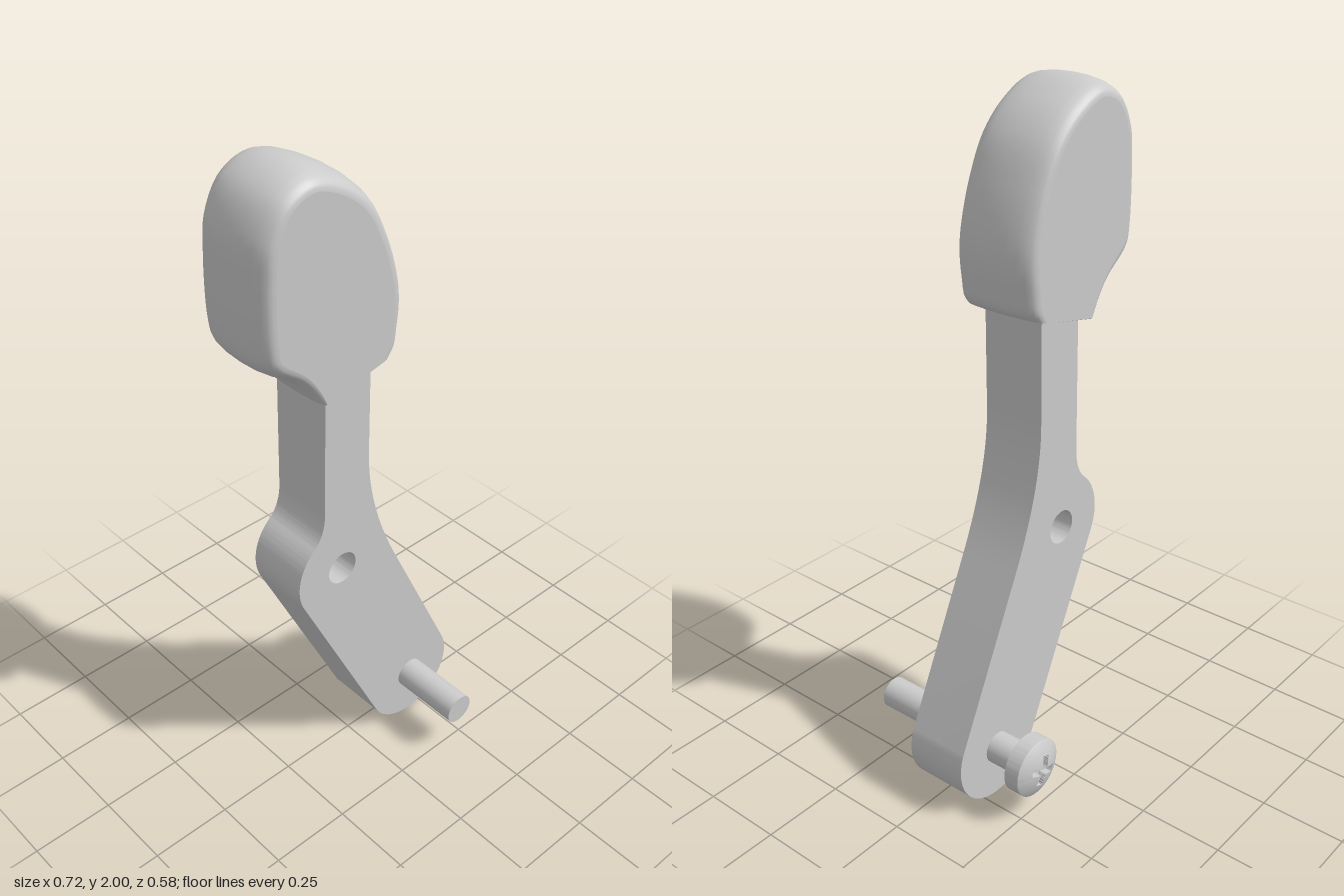
import * as THREE from 'three';
import { toCreasedNormals } from 'three/addons/utils/BufferGeometryUtils.js';
import { ParametricGeometry } from 'three/addons/geometries/ParametricGeometry.js';

const material = new THREE.MeshStandardMaterial({ color: 0xcccccc });

function addMesh(parent, name, geometry) {
  const mesh = new THREE.Mesh(geometry, material);
  mesh.name = name;
  parent.add(mesh);
  return mesh;
}

// Cranked lever arm with a pivot boss and a rounded lower end
function armGeometry() {
  const r = 0.158, tilt = Math.atan2(0.426, 0.904);
  const s = new THREE.Shape();
  s.moveTo(-0.14, 1.45);
  s.lineTo(0.015, 1.45);
  s.lineTo(0.012, 1.12);
  s.quadraticCurveTo(0.01, 0.93, 0.125, 0.69);
  s.absarc(0.2, 0.16, r, tilt, tilt - Math.PI, true);
  s.absarc(-0.085, 0.765, r, tilt + Math.PI, 2.29, true);
  s.quadraticCurveTo(-0.148, 0.918, -0.147, 0.99);
  const hole = new THREE.Path();
  hole.absarc(-0.085, 0.765, 0.05, 0, Math.PI * 2, false);
  s.holes.push(hole);
  const g = new THREE.ExtrudeGeometry(s, { depth: 0.19, bevelEnabled: false, curveSegments: 32 });
  g.translate(0, 0, -0.12);
  return toCreasedNormals(g, 0.5);
}

// Pad: an outline swept across the depth, pulled inward towards both faces
function addPad(parent) {
  const outline = new THREE.CatmullRomCurve3([
    [-0.18, 1.367], [-0.215, 1.415], [-0.257, 1.457], [-0.32, 1.497], [-0.352, 1.535],
    [-0.363, 1.59], [-0.363, 1.765], [-0.35, 1.87], [-0.295, 1.962], [-0.2, 2.0],
    [-0.09, 1.96], [0, 1.88], [0.06, 1.765], [0.097, 1.64], [0.104, 1.57],
    [0.097, 1.495], [0.087, 1.445], [0.07, 1.43],
  ].map(([x, y]) => new THREE.Vector3(x, y, 0)));
  outline.arcLengthDivisions = 600;

  // Inset across the half depth, 0 at the middle and 1 at the face
  const profile = [[0, 0], [0.35, 0.002], [0.65, 0.008], [0.82, 0.016], [0.91, 0.023],
    [0.96, 0.029], [0.99, 0.037], [1, 0.046]];
  const levels = [...profile.slice(1).reverse().map(([t, d]) => [-t, d]), ...profile];
  const rows = levels.length - 1;
  const bottom = new THREE.Vector3(-0.968, -0.25, 0);

  const padPoint = (u, [t, d], target) => {
    const tan = outline.getTangentAt(u);
    const inward = new THREE.Vector3(tan.y, -tan.x, 0);
    inward.lerp(bottom, Math.max(0, (u - 0.95) / 0.05)).normalize();
    const amount = d * Math.min(1, 0.3 + u * 6);
    target.copy(outline.getPointAt(u)).addScaledVector(inward, amount);
    target.z = -0.0175 + t * 0.1275;
    return target;
  };
  const edge = (v, flip) => levels[Math.round((flip ? 1 - v : v) * rows)];
  const surface = (name, fn, slices, stacks) => {
    const g = new ParametricGeometry(fn, slices, stacks);
    g.computeVertexNormals();
    addMesh(parent, name, g);
  };

  surface('padSide', (u, v, p) => padPoint(u, edge(v, true), p), 100, rows);

  // Slanted underside between the two ends of the outline
  surface('padUnderside', (u, v, p) => {
    const a = padPoint(0, edge(v, false), new THREE.Vector3());
    const b = padPoint(1, edge(v, false), new THREE.Vector3());
    p.lerpVectors(a, b, u);
  }, 1, rows);

  // Flat faces fan out from the middle of the lower edge
  for (const front of [true, false]) {
    const level = levels[front ? rows : 0];
    const hub = padPoint(0, level, new THREE.Vector3())
      .lerp(padPoint(1, level, new THREE.Vector3()), 0.5);
    surface(front ? 'padFront' : 'padBack', (u, v, p) => {
      padPoint(u, level, p);
      p.lerp(hub, front ? 1 - v : v);
    }, 100, 1);
  }
}

// Screw head: a lathed pan with a cross recess pressed into its dome
function screwHeadGeometry() {
  const rim = 0.088, sag = 0.026, R = (rim * rim + sag * sag) / (2 * sag);
  const points = [new THREE.Vector2(0, 0), new THREE.Vector2(rim, 0)];
  for (let i = 40; i >= 0; i--) {
    const r = (rim * i) / 40;
    points.push(new THREE.Vector2(r, 0.047 + Math.sqrt(R * R - r * r) - (R - sag)));
  }
  const g = new THREE.LatheGeometry(points, 128);
  const pos = g.attributes.position, turn = 0.35;
  for (let i = 0; i < pos.count; i++) {
    if (pos.getY(i) < 0.05) continue;
    const x = pos.getX(i), z = pos.getZ(i);
    const a = Math.abs(x * Math.cos(turn) + z * Math.sin(turn));
    const b = Math.abs(z * Math.cos(turn) - x * Math.sin(turn));
    if (Math.min(a, b) < 0.0105 && Math.max(a, b) < 0.045) pos.setY(i, 0.05);
  }
  return toCreasedNormals(g, 0.5);
}

export function createModel() {
  const model = new THREE.Group();
  model.name = 'lever';

  addMesh(model, 'arm', armGeometry());

  const pad = new THREE.Group();
  pad.name = 'pad';
  addPad(pad);
  model.add(pad);

  // Screw through the lower end, its head at the back
  const screw = new THREE.Group();
  screw.name = 'screw';
  screw.position.set(0.2, 0.163, 0);
  const shank = addMesh(screw, 'shank', new THREE.CylinderGeometry(0.047, 0.047, 0.51, 48));
  shank.rotation.x = -Math.PI / 2;
  shank.position.z = 0.035;
  const head = addMesh(screw, 'screwHead', screwHeadGeometry());
  head.rotation.x = -Math.PI / 2;
  head.position.z = -0.22;
  model.add(screw);

  return model;
}
